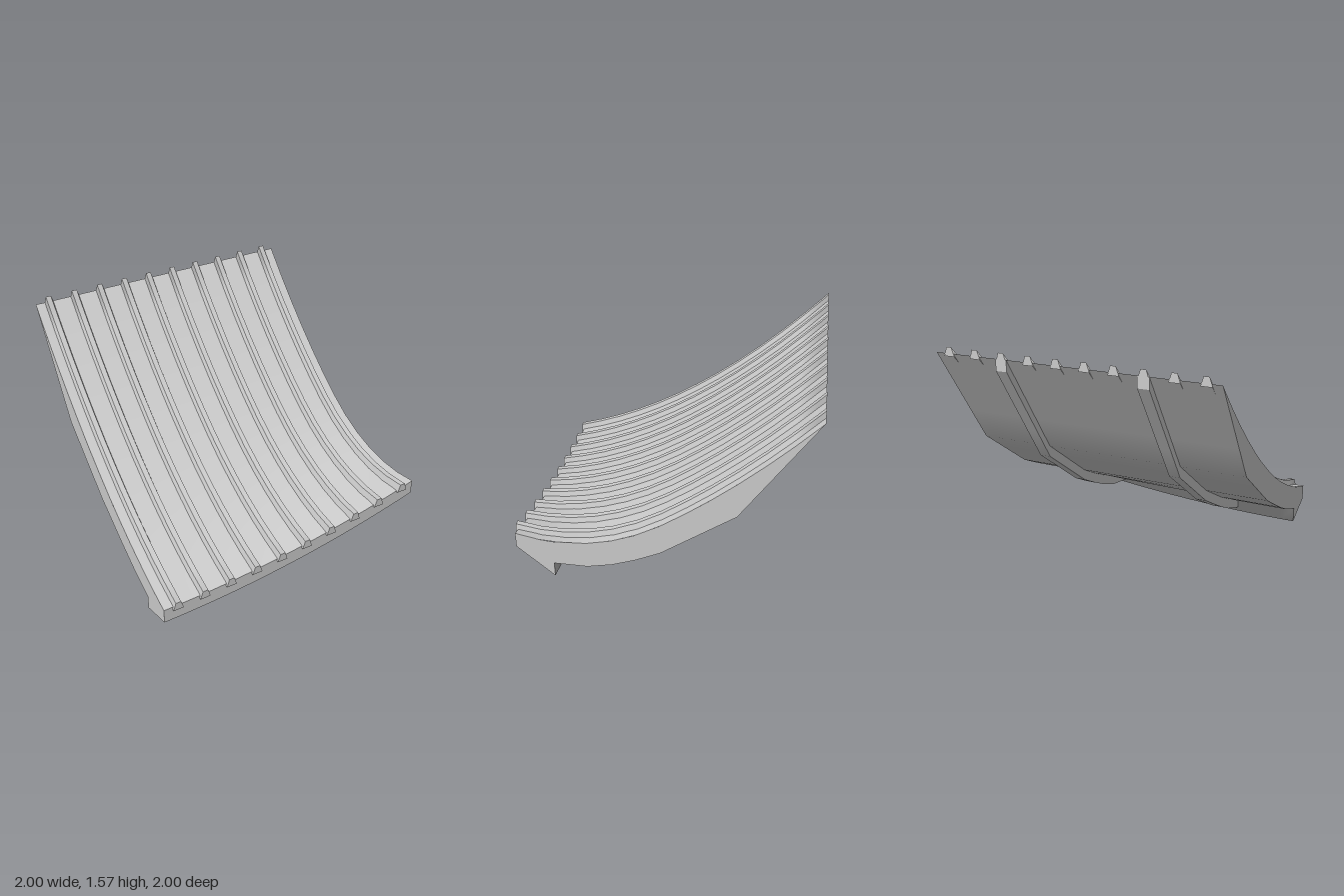
import * as THREE from 'three';
import { mergeGeometries } from 'three/addons/utils/BufferGeometryUtils.js';

const FRONT = 0.985, BACK = -1, STEP = 0.73, HEEL = 0.82;

const range = (a, b, n) => Array.from({ length: n + 1 }, (_, i) => a + (b - a) * i / n);
const mix = (a, b, t) => a + (b - a) * t;

// The front edge sweeps upward towards +x; the lift fades out at mid depth
const lift = (x, z) => 0.3 * Math.pow(Math.max(z, 0), 1.85) * ((x + 1) / 2) ** 2;

// Top surface height
const top = (x, z) => {
  const s = (1 - z) / 2;
  return 0.21 + 0.53 * s + 0.79 * s * s + lift(x, z);
};

// Underside height behind the front lip, read from a short profile
const profile = [[-1, 1.53], [-0.5, 0.8], [0, 0.45], [0.17, 0.36], [0.33, 0.275], [0.5, 0.195], [0.73, 0.113]];
const under = (x, z) => {
  let i = 0;
  while (i < profile.length - 2 && z > profile[i + 1][0]) i++;
  const [z0, y0] = profile[i], [z1, y1] = profile[i + 1];
  return mix(y0, y1, (z - z0) / (z1 - z0)) + lift(x, z);
};

// Sloped underside of the front lip
const lipFront = x => top(x, FRONT) - 0.11;
const lipBack = x => 0.005 + lift(x, STEP);
const lip = (x, z) => mix(lipBack(x), lipFront(x), (z - STEP) / (FRONT - STEP));

// Smooth grid surface, facing along (dP/du) x (dP/dv)
function surface(us, vs, point) {
  const pos = [], index = [], n = vs.length;
  us.forEach(u => vs.forEach(v => pos.push(...point(u, v))));
  for (let i = 0; i < us.length - 1; i++) {
    for (let j = 0; j < n - 1; j++) {
      const a = i * n + j, b = a + n, c = b + 1, d = a + 1;
      index.push(a, b, c, a, c, d);
    }
  }
  const g = new THREE.BufferGeometry();
  g.setAttribute('position', new THREE.Float32BufferAttribute(pos, 3));
  g.setIndex(index);
  g.computeVertexNormals();
  return g;
}

const unit = [0, 1];
const xs = range(-1, 1, 20);
const zTop = range(BACK, FRONT, 12);
const zUnder = [-1, -0.83, -0.67, -0.5, -0.33, -0.17, 0, 0.17, 0.33, 0.5, STEP];
const zLip = [STEP, HEEL, FRONT];

// Curved panel with its deep front lip
function panelGeometry() {
  // The underside runs smoothly down the step and round the heel of the lip
  const lower = [
    ...zUnder.map(z => [z, under]),
    [STEP, lip],
    [HEEL, lip],
  ];
  const parts = [
    surface(zTop, xs, (z, x) => [x, top(x, z), z]),
    surface(xs, lower, (x, [z, height]) => [x, height(x, z), z]),
    surface(xs, [HEEL, FRONT], (x, z) => [x, lip(x, z), z]),
    surface(xs, unit, (x, t) => [x, mix(lipFront(x), top(x, FRONT), t), FRONT]),
  ];
  // Side faces
  for (const [zs, low] of [[zUnder, under], [zLip, lip]]) {
    parts.push(
      surface(unit, zs, (t, z) => [1, mix(low(1, z), top(1, z), t), z]),
      surface(zs, unit, (z, t) => [-1, mix(low(-1, z), top(-1, z), t), z]),
    );
  }
  return mergeGeometries(parts);
}

// Trapezoid rib that follows the top surface
function ribGeometry(cx) {
  const zs = [BACK, -0.95, ...range(-0.83, 1, 11)];
  const section = [[0.038, -0.02], [0.019, 0.042], [-0.019, 0.042], [-0.038, -0.02]];
  const at = (k, z) => [cx + section[k][0], top(cx, z) + section[k][1], z];
  const strips = [0, 1, 2].map(k => {
    const g = surface([k, k + 1], zs, at);
    // Soften the shading into both rib ends
    const p = g.attributes.position, normals = g.attributes.normal, n = new THREE.Vector3();
    for (let i = 0; i < p.count; i++) {
      const z = p.getZ(i);
      if (z > -0.94 && z < 0.999) continue;
      n.fromBufferAttribute(normals, i);
      n.z += Math.sign(z);
      n.normalize();
      normals.setXYZ(i, n.x, n.y, n.z);
    }
    return g;
  });
  // End caps: the sides are ordered so each cap faces outward
  const cap = (z, sides) => surface(sides, unit, (u, t) => at(u ? t : 3 - t, z));
  return mergeGeometries([...strips, cap(1, [0, 1]), cap(BACK, [1, 0])]);
}

// Square runner that follows the underside
function runnerGeometry(cx) {
  const w = 0.04, d = 0.08;
  const low = (x, z) => under(x, z) - d;
  const L = cx - w, R = cx + w;
  return mergeGeometries([
    surface([L, R], zUnder, (x, z) => [x, low(x, z), z]),
    surface(unit, zUnder, (t, z) => [R, low(R, z) + d * t, z]),
    surface(zUnder, unit, (z, t) => [L, low(L, z) + d * t, z]),
    surface(unit, [L, R], (t, x) => [x, low(x, BACK) + d * t, BACK]),
  ]);
}

export function createModel() {
  const group = new THREE.Group();
  group.name = 'curvedRibbedPanel';
  const grey = new THREE.MeshStandardMaterial({ color: 0xcccccc });
  grey.name = 'lightGrey';
  const add = (geometry, name) => {
    const mesh = new THREE.Mesh(geometry, grey);
    mesh.name = name;
    group.add(mesh);
  };

  add(panelGeometry(), 'panel');
  for (let i = 0; i < 10; i++) add(ribGeometry(-0.9 + 0.2 * i), 'topRib');
  for (const x of [-0.5, 0.5]) add(runnerGeometry(x), 'undersideRunner');
  return group;
}
